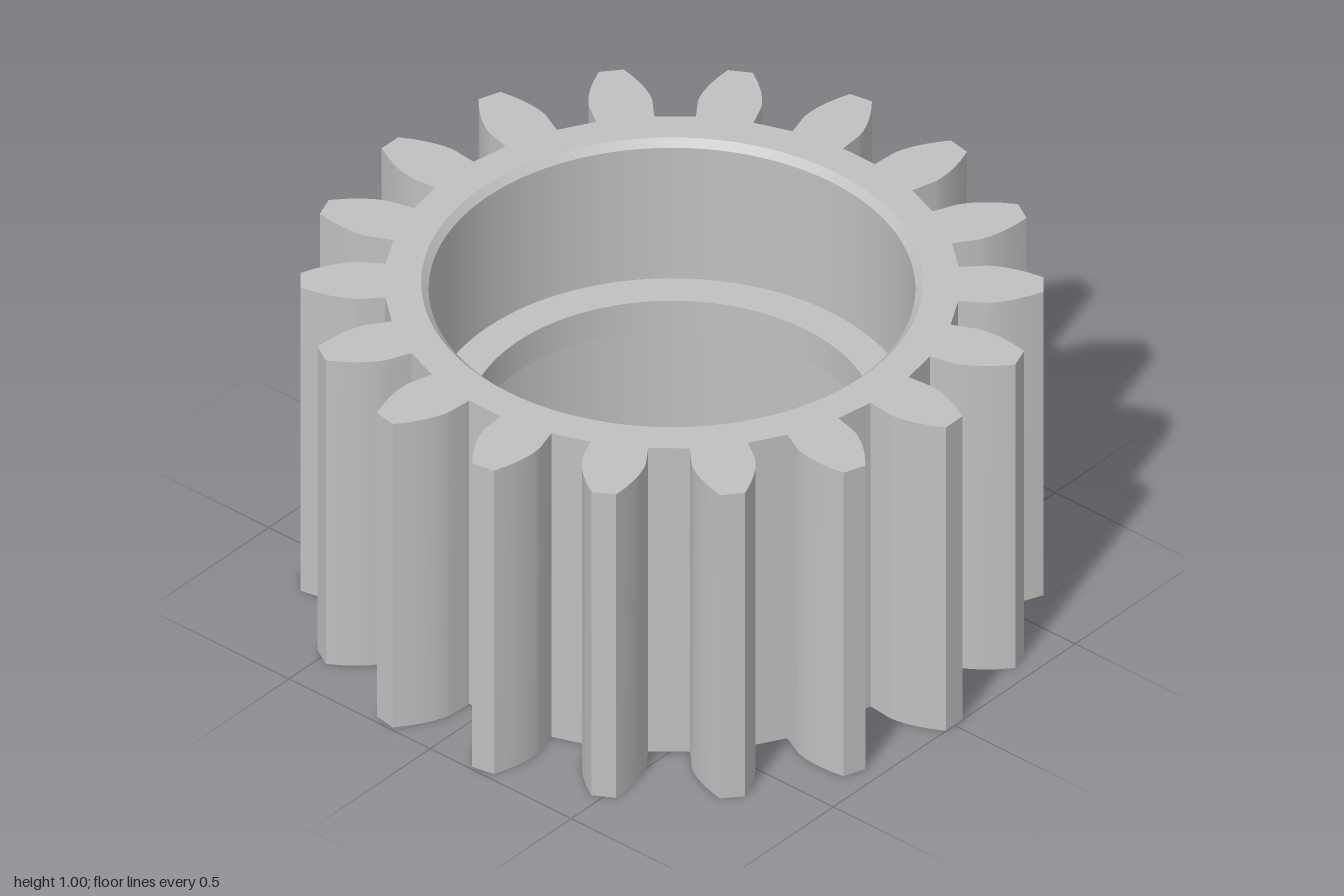
import * as THREE from 'three';
import { toCreasedNormals } from 'three/addons/utils/BufferGeometryUtils.js';

const TEETH = 18, HEIGHT = 1;
const ROOT_R = 0.775, PITCH_R = 0.9, TIP_R = 1;
const PRESSURE = Math.PI / 9;
const BASE_R = PITCH_R * Math.cos(PRESSURE);
const RIM_R = 0.675, BORE_R = 0.655, FLANGE_R = 0.55;
const FLANK_STEPS = 7, ROUND = 96;

// Counter-clockwise outline of the toothed wheel with involute flanks
function gearOutline() {
  const baseHalf = Math.PI / (2 * TEETH) + Math.tan(PRESSURE) - PRESSURE;
  const maxRoll = Math.sqrt((TIP_R / BASE_R) ** 2 - 1);
  const flank = [[ROOT_R, baseHalf]];
  for (let i = 0; i <= FLANK_STEPS; i++) {
    const roll = maxRoll * i / FLANK_STEPS;
    flank.push([BASE_R * Math.hypot(1, roll), baseHalf - (roll - Math.atan(roll))]);
  }
  const tooth = [
    ...flank.map(([r, a]) => [r, -a]),
    ...flank.slice().reverse(),
  ];
  const points = [];
  for (let k = 0; k < TEETH; k++) {
    const turn = k * 2 * Math.PI / TEETH;
    for (const [r, a] of tooth) {
      points.push(new THREE.Vector2(r * Math.cos(turn + a), r * Math.sin(turn + a)));
    }
  }
  return points;
}

// Upright wall following a closed outline
function wallGeometry(outline) {
  const positions = [];
  outline.forEach((a, i) => {
    const b = outline[(i + 1) % outline.length];
    positions.push(
      a.x, 0, -a.y, b.x, 0, -b.y, b.x, HEIGHT, -b.y,
      a.x, 0, -a.y, b.x, HEIGHT, -b.y, a.x, HEIGHT, -a.y,
    );
  });
  const geometry = new THREE.BufferGeometry();
  geometry.setAttribute('position', new THREE.Float32BufferAttribute(positions, 3));
  return toCreasedNormals(geometry, 0.4);
}

export function createModel() {
  const group = new THREE.Group();
  group.name = 'ringGear';
  const steel = new THREE.MeshStandardMaterial({ color: 0xc0c0c0 });
  steel.name = 'steel grey';

  const add = (name, geometry) => {
    const mesh = new THREE.Mesh(geometry, steel);
    mesh.name = name;
    group.add(mesh);
  };

  // Toothed outside
  const outline = gearOutline();
  add('toothedWall', wallGeometry(outline));

  // Flat end faces with the bore opening
  const face = new THREE.Shape(outline);
  face.holes.push(new THREE.Path().absarc(0, 0, RIM_R, 0, Math.PI * 2, true));
  add('topFace', new THREE.ShapeGeometry(face, ROUND / 2).rotateX(-Math.PI / 2).translate(0, HEIGHT, 0));
  add('bottomFace', new THREE.ShapeGeometry(face, ROUND / 2).rotateX(Math.PI / 2));

  // Inside from top to bottom: each strip is separate so its edges stay sharp
  const profile = [
    [RIM_R, HEIGHT], [BORE_R, HEIGHT - 0.02], [BORE_R, 0.55], [FLANGE_R, 0.55],
    [FLANGE_R, 0.45], [BORE_R, 0.45], [BORE_R, 0.02], [RIM_R, 0],
  ].map(([r, y]) => new THREE.Vector2(r, y));
  const names = ['topChamfer', 'upperBore', 'flangeTop', 'flangeBore',
    'flangeUnderside', 'lowerBore', 'bottomChamfer'];
  names.forEach((name, i) => add(name, new THREE.LatheGeometry([profile[i], profile[i + 1]], ROUND)));

  return group;
}
